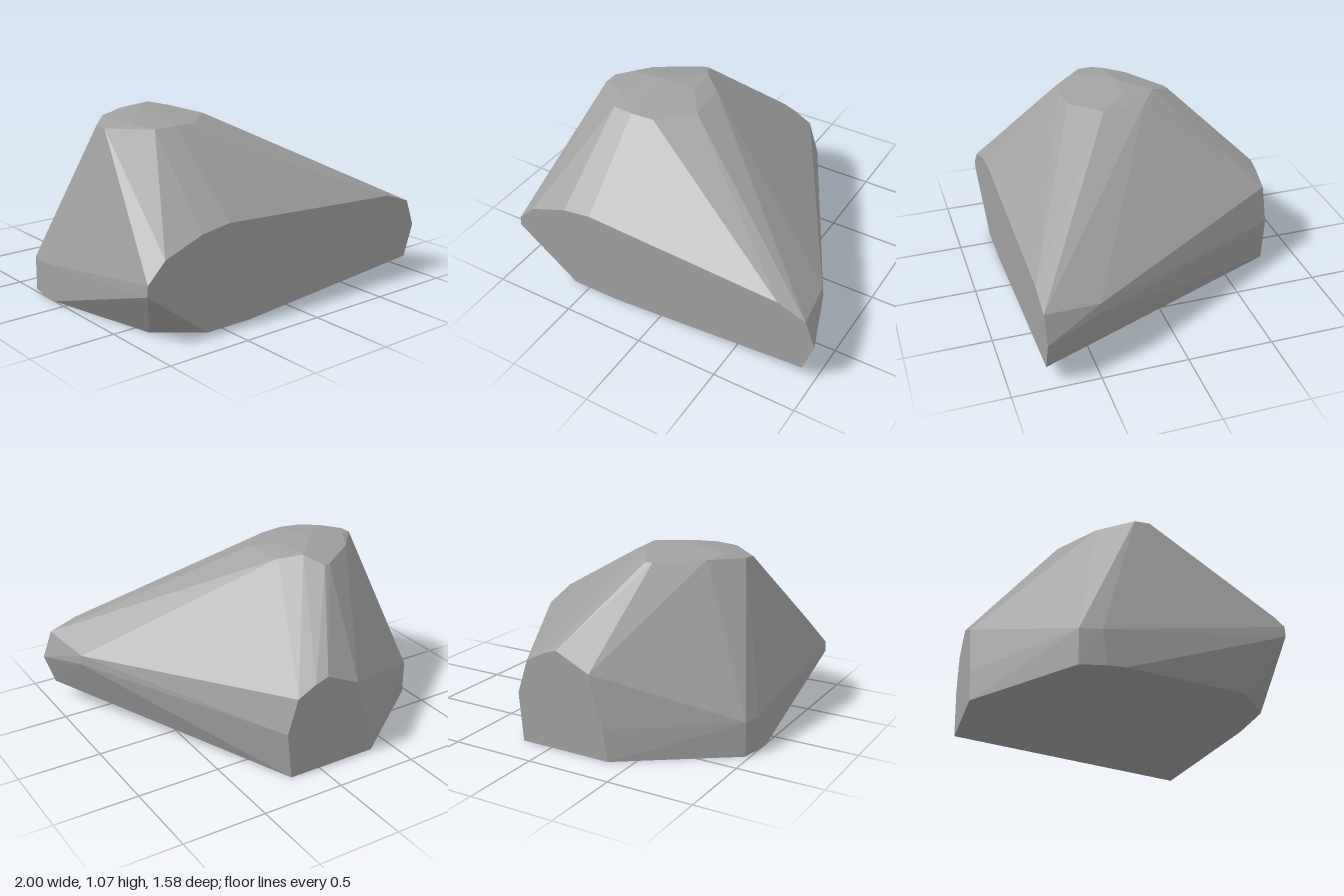
import * as THREE from 'three';
import { ConvexGeometry } from 'three/addons/geometries/ConvexGeometry.js';

export function createModel() {
  const stone = new THREE.MeshStandardMaterial({ color: 0xa0a0a0 });
  stone.name = 'grey stone';
  const depth = 0.79;
  const points = [];
  const add = (list, place) => list.forEach((p) => points.push(new THREE.Vector3(...place(p))));

  // flat cut at the front: x, y
  add([
    [-0.985, 0.29], [-0.98, 0.35], [-0.87, 0.46], [-0.63, 0.55], [-0.45, 0.577], [0.77, 0.51],
    [0.94, 0.45], [1, 0.29], [0.935, 0.1], [-0.3, 0], [-0.6, 0], [-0.8, 0.16],
  ], ([x, y]) => [x, y, depth]);

  // smaller flat cut at the back: x, y
  add([
    [0.19, 0], [0.22, 0.285], [0.155, 0.49], [0.04, 0.55], [-0.04, 0.577], [-0.25, 0.48],
    [-0.34, 0.18], [-0.37, 0],
  ], ([x, y]) => [x, y, -depth]);

  // resting face on the ground: x, z
  add([
    [-0.975, -0.34], [-1, -0.2], [-1, -0.1], [-0.84, 0.6], [0.14, 0.36],
  ], ([x, z]) => [x, 0, z]);

  // corners on the two flanks
  add([
    [-0.975, 0.2, -0.34], [-0.998, 0.2, -0.22], [0.88, 0.405, 0.465], [0.887, 0.35, 0.465],
  ], (p) => p);

  // rim around the summit, then the low dome on top
  add([
    [-0.58, 1.01, 0.31], [-0.45, 1.015, 0.325], [-0.31, 1.01, 0.31], [-0.12, 1.02, 0.14],
    [-0.145, 1.02, -0.12], [-0.33, 1.01, -0.33], [-0.37, 1.01, -0.32], [-0.615, 1.02, -0.15],
    [-0.77, 1.015, 0.03], [-0.775, 1.01, 0.115],
    [-0.65, 1.035, 0.18], [-0.68, 1.04, -0.02], [-0.26, 1.05, -0.21], [-0.24, 1.055, -0.02],
    [-0.45, 1.072, -0.01],
  ], (p) => p);

  const boulder = new THREE.Mesh(new ConvexGeometry(points), stone);
  boulder.name = 'boulder';
  const group = new THREE.Group();
  group.name = 'rock';
  group.add(boulder);
  return group;
}
